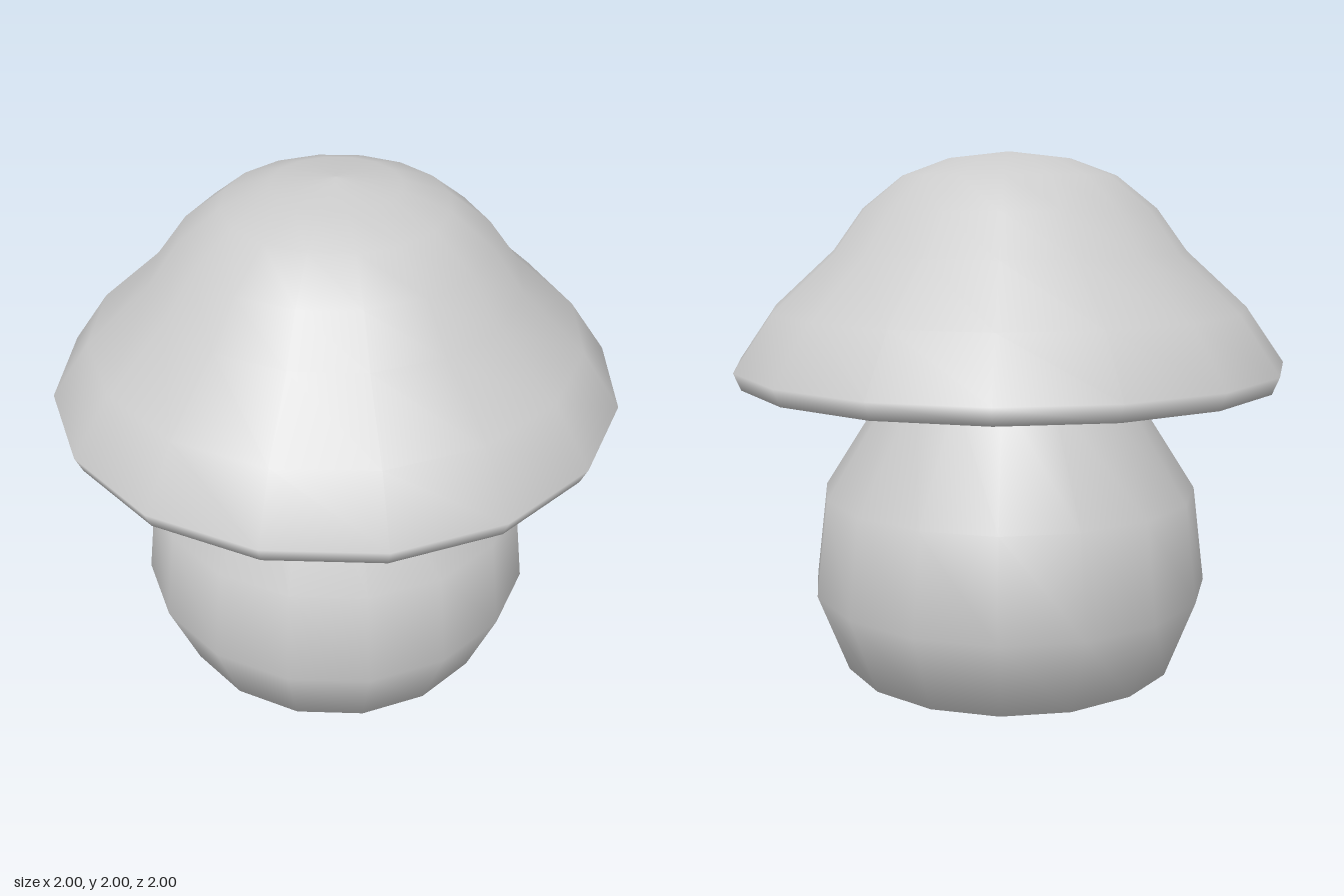
import * as THREE from 'three';

const SIDES = 16;

export function createModel() {
  const group = new THREE.Group();
  const material = new THREE.MeshStandardMaterial({ color: 0xcccccc });

  // Smooth-shaded turned part; the profile runs from bottom to top as [radius, y]
  const addTurned = (name, profile) => {
    const points = profile.map(([r, y]) => new THREE.Vector2(r, y));
    const mesh = new THREE.Mesh(new THREE.LatheGeometry(points, SIDES), material);
    mesh.name = name;
    group.add(mesh);
  };

  // Bulbous stem, narrowing into the hollow under the cap
  addTurned('stem', [
    [0, 0], [0.355, 0.02], [0.625, 0.13], [0.735, 0.42],
    [0.69, 0.775], [0.425, 1.19], [0.36, 1.29],
  ]);

  // Cap: hollow around the stem, flat underside, thin rim and domed top
  addTurned('cap', [
    [0.36, 1.29], [0.5, 1.2], [0.975, 1.19], [1, 1.25], [0.86, 1.45],
    [0.64, 1.65], [0.53, 1.8], [0.385, 1.915], [0.22, 1.975], [0, 2],
  ]);

  return group;
}
